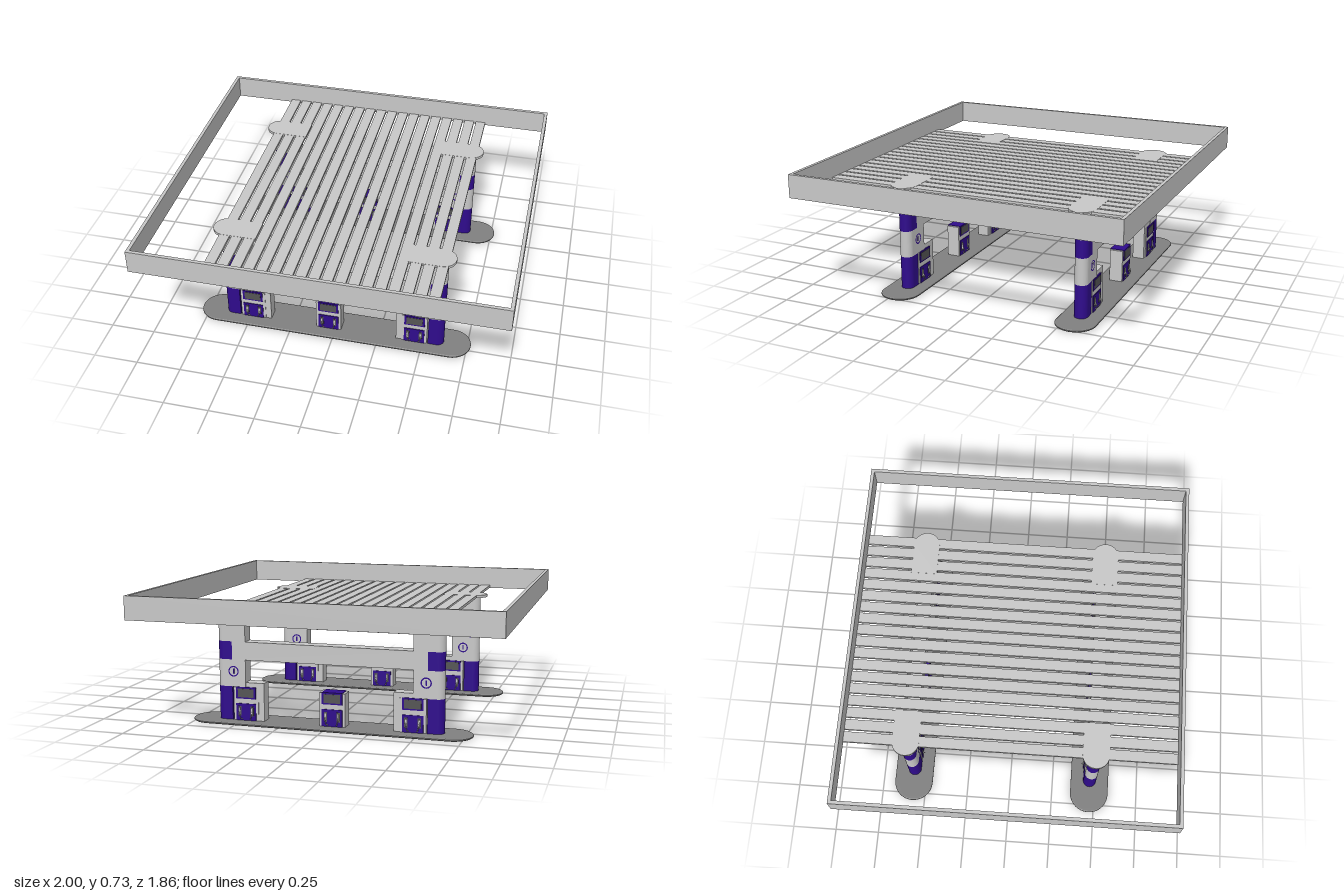
import * as THREE from 'three';

const mat = (name, color) => {
  const m = new THREE.MeshStandardMaterial({ color });
  m.name = name;
  return m;
};

export function createModel() {
  const light = mat('light grey', 0xc8c8c8);
  const purple = mat('deep purple', 0x2f0b8c);
  const stone = mat('island grey', 0x808080);
  const dark = mat('dark grey', 0x555555);

  const root = new THREE.Group();
  root.name = 'fuelStation';
  const add = (parent, name, geo, m) => {
    const mesh = new THREE.Mesh(geo, m);
    mesh.name = name;
    parent.add(mesh);
    return mesh;
  };
  const group = (parent, name) => {
    const g = new THREE.Group();
    g.name = name;
    parent.add(g);
    return g;
  };
  // box given by its limits on each axis
  const box = (parent, name, m, x0, x1, y0, y1, z0, z1) => {
    const mesh = add(parent, name, new THREE.BoxGeometry(x1 - x0, y1 - y0, z1 - z0), m);
    mesh.position.set((x0 + x1) / 2, (y0 + y1) / 2, (z0 + z1) / 2);
    return mesh;
  };
  // upright slab with a half-round outer end at x1
  const roundEnd = (parent, name, m, x0, x1, r, y0, y1) => {
    const s = new THREE.Shape();
    s.moveTo(x0, -r);
    s.lineTo(x1 - r, -r);
    s.absarc(x1 - r, 0, r, -Math.PI / 2, Math.PI / 2, false);
    s.lineTo(x0, r);
    s.closePath();
    const geo = new THREE.ExtrudeGeometry(s, { depth: y1 - y0, bevelEnabled: false, curveSegments: 20 });
    geo.rotateX(-Math.PI / 2);
    geo.translate(0, y0, 0);
    return add(parent, name, geo, m);
  };

  // canopy fascia: an open rectangular frame
  const rect = (Type, x, y) => new Type([[-x, -y], [x, -y], [x, y], [-x, y]].map(p => new THREE.Vector2(...p)));
  const ring = rect(THREE.Shape, 1, 0.932);
  ring.holes.push(rect(THREE.Path, 0.981, 0.913));
  const fascia = new THREE.ExtrudeGeometry(ring, { depth: 0.13, bevelEnabled: false });
  fascia.rotateX(-Math.PI / 2);
  add(root, 'canopyFrame', fascia, light).position.y = 0.595;

  // roof slats
  const slats = group(root, 'roofSlats');
  const pitch = 1.267 / 18;
  for (let i = 0; i < 18; i++) {
    const x = -0.63 + i * pitch;
    box(slats, 'roofSlat', light, x, x + pitch - 0.012, 0.596, 0.612, -0.914, 0.914);
  }

  // one operating face of a pump, looking along +z
  const pumpFace = (parent) => {
    const z = 0.037;
    box(parent, 'displaySurround', purple, -0.0575, 0.0575, 0.135, 0.2, z, z + 0.004);
    box(parent, 'display', dark, -0.046, 0.046, 0.143, 0.191, z, z + 0.006);
    box(parent, 'lowerPanel', purple, -0.0575, 0.0575, 0.012, 0.108, z, z + 0.004);
    for (const s of [-1, 1]) {
      const x = s * 0.036;
      box(parent, 'nozzleSlot', dark, x - 0.009, x + 0.009, 0.04, 0.094, z, z + 0.006);
      box(parent, 'nozzle', light, x - 0.004, x + 0.004, 0.05, 0.086, z, z + 0.01);
      const path = new THREE.CatmullRomCurve3([
        new THREE.Vector3(x, 0.07, z + 0.005),
        new THREE.Vector3(x, 0.055, z + 0.014),
        new THREE.Vector3(x - s * 0.006, 0.03, z + 0.014),
        new THREE.Vector3(x - s * 0.012, 0.022, z + 0.003),
      ]);
      add(parent, 'hose', new THREE.TubeGeometry(path, 12, 0.0025, 6), light);
    }
  };

  // pump cabinet with a face on both sides
  const pump = (parent, name, x) => {
    const g = group(parent, name);
    g.position.x = x;
    box(g, 'cabinet', light, -0.072, 0.072, 0.01, 0.197, -0.037, 0.037);
    box(g, 'cabinetTop', purple, -0.0575, 0.0575, 0.197, 0.2, -0.037, 0.037);
    for (const turn of [0, Math.PI]) {
      const f = group(g, 'pumpFace');
      f.rotation.y = turn;
      pumpFace(f);
    }
  };

  // one end of an island: column, pump and roof cap, outward along +x
  const islandEnd = (parent) => {
    const g = group(parent, 'columnEnd');
    const r = 0.0375;
    roundEnd(g, 'columnBase', purple, 0.545, 0.632, r, 0.012, 0.2);
    roundEnd(g, 'columnMiddle', light, 0.468, 0.632, r, 0.2, 0.35);
    roundEnd(g, 'columnBand', purple, 0.545, 0.632, r, 0.35, 0.45);
    roundEnd(g, 'columnTop', light, 0.468, 0.632, r, 0.45, 0.6);
    roundEnd(g, 'roofCap', light, 0.415, 0.672, 0.074, 0.597, 0.613);
    box(g, 'pumpBackBox', light, 0.363, 0.468, 0.01, 0.225, -0.034, 0.034);
    pump(g, 'sidePump', 0.467);
    // round badges on both sides
    for (const s of [0, Math.PI]) {
      const b = group(g, 'badge');
      b.position.set(0.537, 0.285, s ? -r : r);
      b.rotation.y = s;
      add(b, 'badgeRing', new THREE.RingGeometry(0.023, 0.03, 32), purple).position.z = 0.002;
      box(b, 'badgeMark', purple, -0.004, 0.004, -0.014, 0.014, 0, 0.002);
    }
    return g;
  };

  // kerb island with rounded ends
  const kerb = (parent) => {
    const s = new THREE.Shape();
    const r = 0.105, c = 0.672;
    s.moveTo(-c, -r);
    s.lineTo(c, -r);
    s.absarc(c, 0, r, -Math.PI / 2, Math.PI / 2, false);
    s.lineTo(-c, r);
    s.absarc(-c, 0, r, Math.PI / 2, Math.PI * 1.5, false);
    const geo = new THREE.ExtrudeGeometry(s, {
      depth: 0.006, bevelEnabled: true, bevelThickness: 0.004, bevelSize: 0.006, bevelSegments: 1, curveSegments: 24,
    });
    geo.rotateX(-Math.PI / 2);
    add(parent, 'island', geo, stone).position.y = 0.004;
  };

  // two identical pump rows
  for (const z of [0.47, -0.572]) {
    const row = group(root, z > 0 ? 'frontPumpRow' : 'rearPumpRow');
    row.position.set(-0.012, 0, z);
    kerb(row);
    box(row, 'crossBeam', light, -0.545, 0.545, 0.35, 0.45, -0.0375, 0.0375);
    pump(row, 'middlePump', -0.025);
    islandEnd(row);
    islandEnd(row).rotation.y = Math.PI;
  }
  return root;
}
